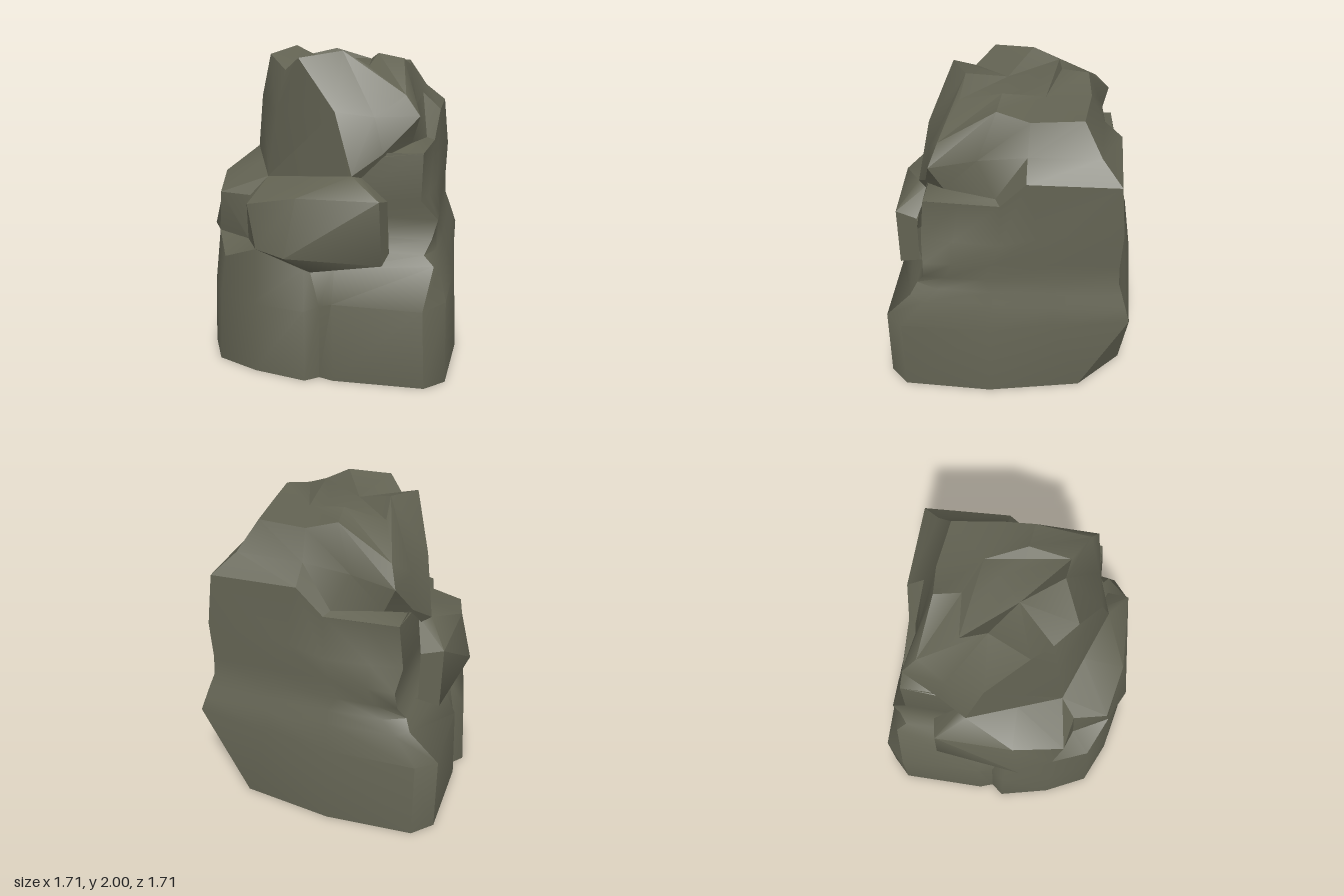
import * as THREE from 'three';
import { toCreasedNormals } from 'three/addons/utils/BufferGeometryUtils.js';

const stone = new THREE.MeshStandardMaterial({ color: 0x626252, side: THREE.DoubleSide });
stone.name = 'mossy grey stone';

// Lofts rows (bottom to top) of points (front to back) and mirrors them over
// the diagonal plane x = -z.
function mirroredLoft(name, rows, crease = 0.7) {
  const out = [];
  const same = (p, q) => p.every((v, i) => Math.abs(v - q[i]) < 1e-5);
  const flip = ([x, y, z]) => [-z, y, -x];
  const tri = (a, b, c) => {
    if (same(a, b) || same(b, c) || same(a, c)) return;
    out.push(...a, ...b, ...c, ...flip(a), ...flip(c), ...flip(b));
  };
  for (let r = 0; r < rows.length - 1; r++) {
    for (let c = 0; c < rows[r].length - 1; c++) {
      const a = rows[r][c], b = rows[r][c + 1];
      const d = rows[r + 1][c], e = rows[r + 1][c + 1];
      tri(a, b, e);
      tri(a, e, d);
    }
  }
  const g = new THREE.BufferGeometry();
  g.setAttribute('position', new THREE.Float32BufferAttribute(out, 3));
  const mesh = new THREE.Mesh(toCreasedNormals(g, crease), stone);
  mesh.name = name;
  return mesh;
}

export function createModel() {
  const rock = new THREE.Group();
  rock.name = 'rock';

  // Front wall beside the lobe, stepping back at a ledge
  rock.add(mirroredLoft('frontWall', [
    [[0.05, 0, 0.79], [0.14, 0, 0.82], [0.71, 0, 0.81]],
    [[0.045, 0.47, 0.77], [0.13, 0.5, 0.80], [0.69, 0.5, 0.81]],
    [[-0.02, 0.67, 0.72], [0.13, 0.70, 0.71], [0.735, 0.73, 0.63]],
    [[0.0, 0.79, 0.59], [0.13, 0.79, 0.59], [0.67, 0.785, 0.59]],
    [[0.0, 0.87, 0.54], [0.2, 0.87, 0.54], [0.71, 0.87, 0.54]],
    [[0.1, 1.0, 0.53], [0.2, 1.0, 0.53], [0.745, 1.0, 0.53]],
    [[0.1, 1.12, 0.54], [0.2, 1.12, 0.55], [0.64, 1.12, 0.55]],
    [[0.1, 1.4, 0.50], [0.2, 1.4, 0.52], [0.645, 1.41, 0.52]],
  ]));

  // Broad side walls, open underneath, meeting at the sharp back corner
  rock.add(mirroredLoft('sideWalls', [
    [[0.71, 0, 0.81], [0.83, 0, 0.69], [0.855, 0, 0.12], [0.76, 0, -0.48], [0.76, 0, -0.48]],
    [[0.69, 0.5, 0.81], [0.82, 0.53, 0.69], [0.825, 0.53, 0.12], [0.80, 0.58, -0.30], [0.778, 0.62, -0.778]],
    [[0.735, 0.73, 0.63], [0.765, 0.70, 0.55], [0.77, 0.70, 0.10], [0.765, 0.70, -0.30], [0.754, 0.70, -0.754]],
    [[0.67, 0.785, 0.59], [0.735, 0.785, 0.45], [0.745, 0.785, 0.10], [0.74, 0.785, -0.30], [0.728, 0.785, -0.728]],
    [[0.71, 0.87, 0.54], [0.72, 0.87, 0.40], [0.72, 0.87, 0.15], [0.715, 0.87, -0.30], [0.70, 0.87, -0.70]],
    [[0.745, 1.0, 0.53], [0.74, 1.0, 0.35], [0.72, 1.0, 0.10], [0.705, 1.0, -0.30], [0.695, 1.0, -0.695]],
    [[0.64, 1.12, 0.55], [0.67, 1.12, 0.35], [0.69, 1.12, 0.05], [0.70, 1.2, -0.20], [0.705, 1.25, -0.705]],
    [[0.645, 1.41, 0.52], [0.658, 1.41, 0.30], [0.67, 1.41, 0.05], [0.69, 1.59, -0.11], [0.675, 1.58, -0.675]],
  ], 1.0));

  // Chipped foot of the back corner
  rock.add(mirroredLoft('backChip', [
    [[0.76, 0, -0.48], [0.62, 0, -0.62]],
    [[0.778, 0.62, -0.778], [0.778, 0.62, -0.778]],
  ]));

  // Cap: recessed shelf, sloping shoulders and the shallow bowl of the crown
  rock.add(mirroredLoft('cap', [
    [[0.22, 1.2, 0.58], [0.4, 1.38, 0.53], [0.645, 1.41, 0.52], [0.67, 1.41, 0.05], [0.69, 1.59, -0.11], [0.675, 1.58, -0.675]],
    [[0.22, 1.27, 0.62], [0.4, 1.4, 0.54], [0.56, 1.45, 0.40], [0.62, 1.43, 0.08], [0.69, 1.59, -0.11], [0.675, 1.58, -0.675]],
    [[0.1, 1.65, 0.55], [0.34, 1.62, 0.51], [0.615, 1.63, 0.48], [0.56, 1.66, 0.19], [0.57, 1.70, -0.11], [0.55, 1.70, -0.55]],
    [[-0.16, 1.96, 0.41], [0.1, 2.0, 0.3], [0.52, 1.75, 0.43], [0.46, 1.94, 0.08], [0.48, 1.885, -0.12], [0.44, 1.885, -0.44]],
    [[-0.16, 1.96, 0.41], [0.1, 2.0, 0.3], [0.27, 1.91, 0.32], [0.29, 1.97, 0.06], [0.2, 1.91, -0.2], [0.2, 1.91, -0.2]],
    [[-0.28, 1.87, 0.28], [-0.05, 1.91, 0.05], [0.27, 1.91, 0.32], [0.235, 1.91, 0.05], [0.2, 1.91, -0.2], [0.2, 1.91, -0.2]],
    [[-0.28, 1.87, 0.28], [-0.05, 1.91, 0.05], [0.0, 1.91, 0.0], [0.1, 1.91, -0.1], [0.2, 1.91, -0.2], [0.2, 1.91, -0.2]],
  ], 0.65));

  // Tall panel under the crown
  rock.add(mirroredLoft('frontPanel', [
    [[-0.38, 1.19, 0.38], [0.22, 1.27, 0.62]],
    [[-0.33, 1.6, 0.33], [0.1, 1.65, 0.55]],
    [[-0.28, 1.87, 0.28], [-0.16, 1.96, 0.41]],
  ]));

  // Overhanging slabs on both sides of the front corner
  rock.add(mirroredLoft('slabs', [
    [[-0.37, 0.8, 0.725], [-0.02, 0.67, 0.72], [0.2, 0.72, 0.67], [0.45, 0.785, 0.59]],
    [[-0.37, 0.8, 0.725], [-0.16, 0.785, 0.83], [0.43, 0.75, 0.745], [0.455, 0.79, 0.61]],
    [[-0.43, 1.08, 0.69], [-0.1, 1.15, 0.76], [0.41, 1.15, 0.75], [0.44, 1.12, 0.61]],
    [[-0.38, 1.19, 0.38], [-0.1, 1.226, 0.49], [0.22, 1.27, 0.62], [0.24, 1.27, 0.54]],
  ], 0.8));

  // Recess between the slabs, with its sloping floor
  rock.add(mirroredLoft('cornerRecess', [
    [[-0.61, 0.7, 0.61], [-0.37, 0.8, 0.725]],
    [[-0.49, 0.79, 0.49], [-0.37, 0.8, 0.725]],
    [[-0.475, 1.08, 0.475], [-0.43, 1.08, 0.69]],
    [[-0.38, 1.19, 0.38], [-0.38, 1.19, 0.38]],
  ]));

  // Rounded lobe below the slabs
  rock.add(mirroredLoft('lowerLobe', [
    [[-0.65, 0, 0.65], [-0.37, 0, 0.78], [-0.03, 0, 0.855], [0.05, 0, 0.79]],
    [[-0.635, 0.45, 0.635], [-0.37, 0.45, 0.765], [-0.04, 0.45, 0.83], [0.045, 0.47, 0.77]],
    [[-0.61, 0.7, 0.61], [-0.37, 0.8, 0.725], [-0.06, 0.69, 0.74], [-0.02, 0.67, 0.72]],
  ], 1.1));

  return rock;
}
